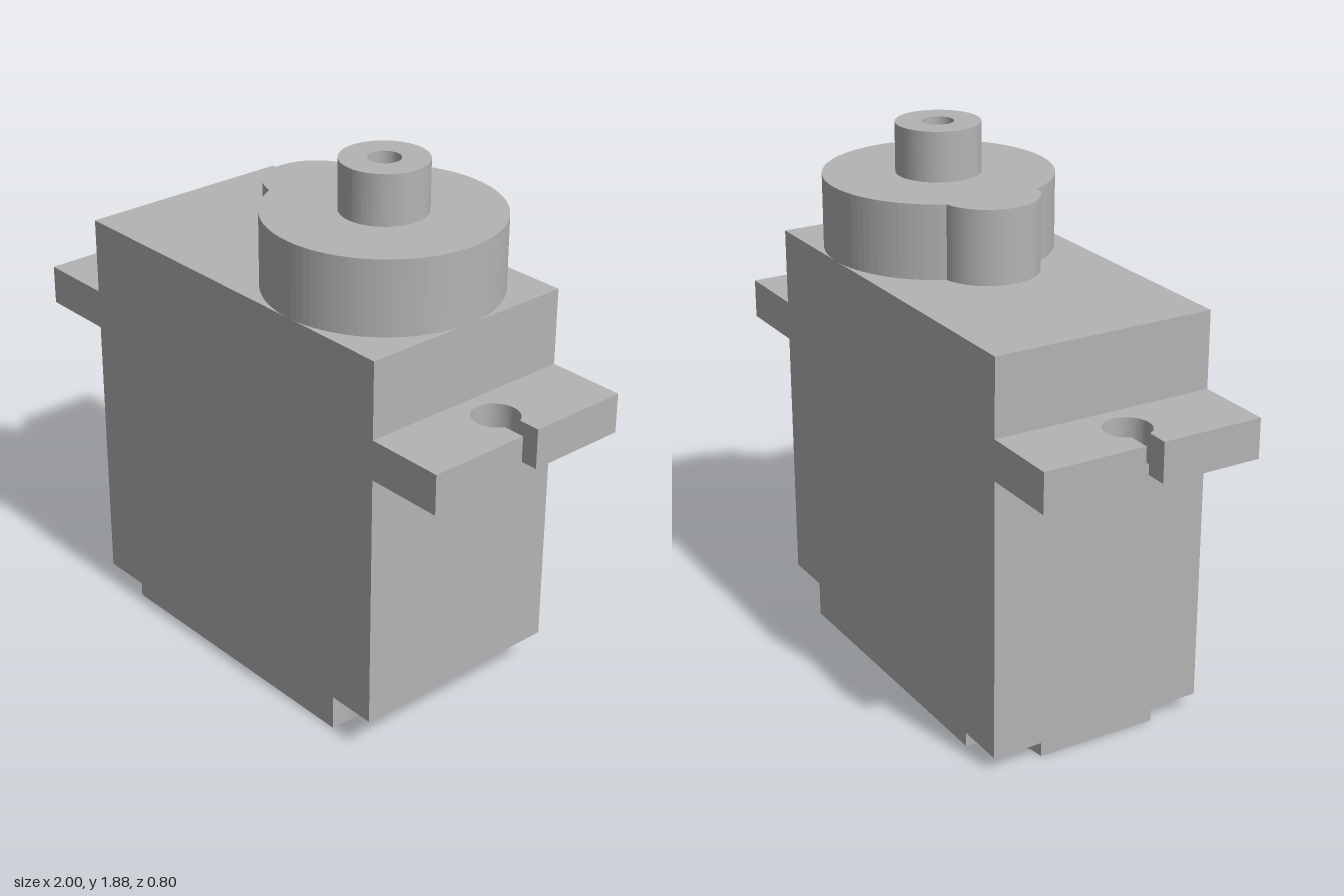
import * as THREE from 'three';

const grey = new THREE.MeshStandardMaterial({ color: 0xb4b4b4 });
grey.name = 'plain grey';

// Extrude a plan outline (x, z) upward from y0 to y1
function slab(name, shape, y0, y1, curveSegments = 12) {
  const geo = new THREE.ExtrudeGeometry(shape, { depth: y1 - y0, bevelEnabled: false, curveSegments });
  geo.rotateX(-Math.PI / 2).translate(0, y0, 0);
  const mesh = new THREE.Mesh(geo, grey);
  mesh.name = name;
  return mesh;
}

function polygon(points) {
  return new THREE.Shape(points.map(([x, y]) => new THREE.Vector2(x, y)));
}

export function createModel() {
  const group = new THREE.Group();
  group.name = 'servoMotor';
  const W = 0.72, D = 0.4, H = 1.45;   // half width, half depth, height of the case
  const cutX = 0.54, cutY = 0.125;     // start and height of the chamfered end
  const r = W - cutX;                  // radius of the corner scoops

  // Case, a stepped side profile extruded through the depth
  const caseGeo = new THREE.ExtrudeGeometry(
    polygon([[-W, 0.05], [cutX, 0.05], [cutX, cutY], [W, cutY], [W, H], [-W, H]]),
    { depth: 2 * D, bevelEnabled: false });
  caseGeo.translate(0, 0, -D);
  const body = new THREE.Mesh(caseGeo, grey);
  body.name = 'case';
  group.add(body);

  // Base plate with two scooped corners
  const plate = new THREE.Shape();
  plate.moveTo(cutX, -D);
  plate.lineTo(cutX, D);
  plate.lineTo(-W + r, D);
  plate.absarc(-W, D, r, 0, -Math.PI / 2, true);
  plate.lineTo(-W, -D + r);
  plate.absarc(-W, -D, r, Math.PI / 2, 0, true);
  group.add(slab('basePlate', plate, 0, 0.05));

  // Chamfered end: scooped corners and a cable recess, underside raised to a slope
  const midX = (cutX + W) / 2, slot = 0.117;
  const end = new THREE.Shape();
  end.moveTo(cutX, D);
  end.lineTo(cutX, -D);
  end.absarc(W, -D, r, Math.PI, Math.PI / 2, true);
  end.lineTo(W, -slot);
  end.lineTo(midX, -slot);
  end.lineTo(midX, slot);
  end.lineTo(W, slot);
  end.lineTo(W, D - r);
  end.absarc(W, D, r, -Math.PI / 2, -Math.PI, true);
  const wedge = slab('chamferedEnd', end, 0, cutY);
  const pos = wedge.geometry.attributes.position;
  for (let i = 0; i < pos.count; i++) {
    if (pos.getY(i) < 0.001) pos.setY(i, (pos.getX(i) - cutX) / r * cutY);
  }
  wedge.geometry.computeVertexNormals();
  group.add(wedge);

  // Mounting ears with open screw holes
  const holeX = 0.85, holeR = 0.08, gap = 0.033, a = Math.asin(gap / holeR);
  const ear = new THREE.Shape();
  ear.moveTo(W, -D);
  ear.lineTo(1, -D);
  ear.lineTo(1, -gap);
  ear.lineTo(holeX + holeR * Math.cos(a), -gap);
  ear.absarc(holeX, 0, holeR, -a, -2 * Math.PI + a, true);
  ear.lineTo(1, gap);
  ear.lineTo(1, D);
  ear.lineTo(W, D);
  for (const side of ['left', 'right']) {
    const mesh = slab(side + 'MountingEar', ear, 1.04, 1.18, 28);
    if (side === 'right') mesh.rotation.y = Math.PI;
    group.add(mesh);
  }

  // Gear housing: a large round merged with a small lobe
  const gearX = 0.32, lobeX = -0.01, joinX = -0.04;
  const joinZ = Math.sqrt(D * D - (joinX - gearX) ** 2);
  const big = Math.atan2(joinZ, joinX - gearX);
  const small = Math.atan2(joinZ, joinX - lobeX);
  const housing = new THREE.Shape();
  housing.absarc(gearX, 0, D, -big, big, false);
  housing.absarc(lobeX, 0, Math.hypot(joinZ, joinX - lobeX), small, 2 * Math.PI - small, false);
  group.add(slab('gearHousing', housing, H, 1.71, 40));

  // Output shaft with a screw hole
  const shaft = new THREE.Shape();
  shaft.absarc(gearX, 0, 0.148, 0, 2 * Math.PI, false);
  const bore = new THREE.Path();
  bore.absarc(gearX, 0, 0.055, 0, 2 * Math.PI, true);
  shaft.holes.push(bore);
  group.add(slab('outputShaft', shaft, 1.71, 1.885, 36));

  return group;
}
